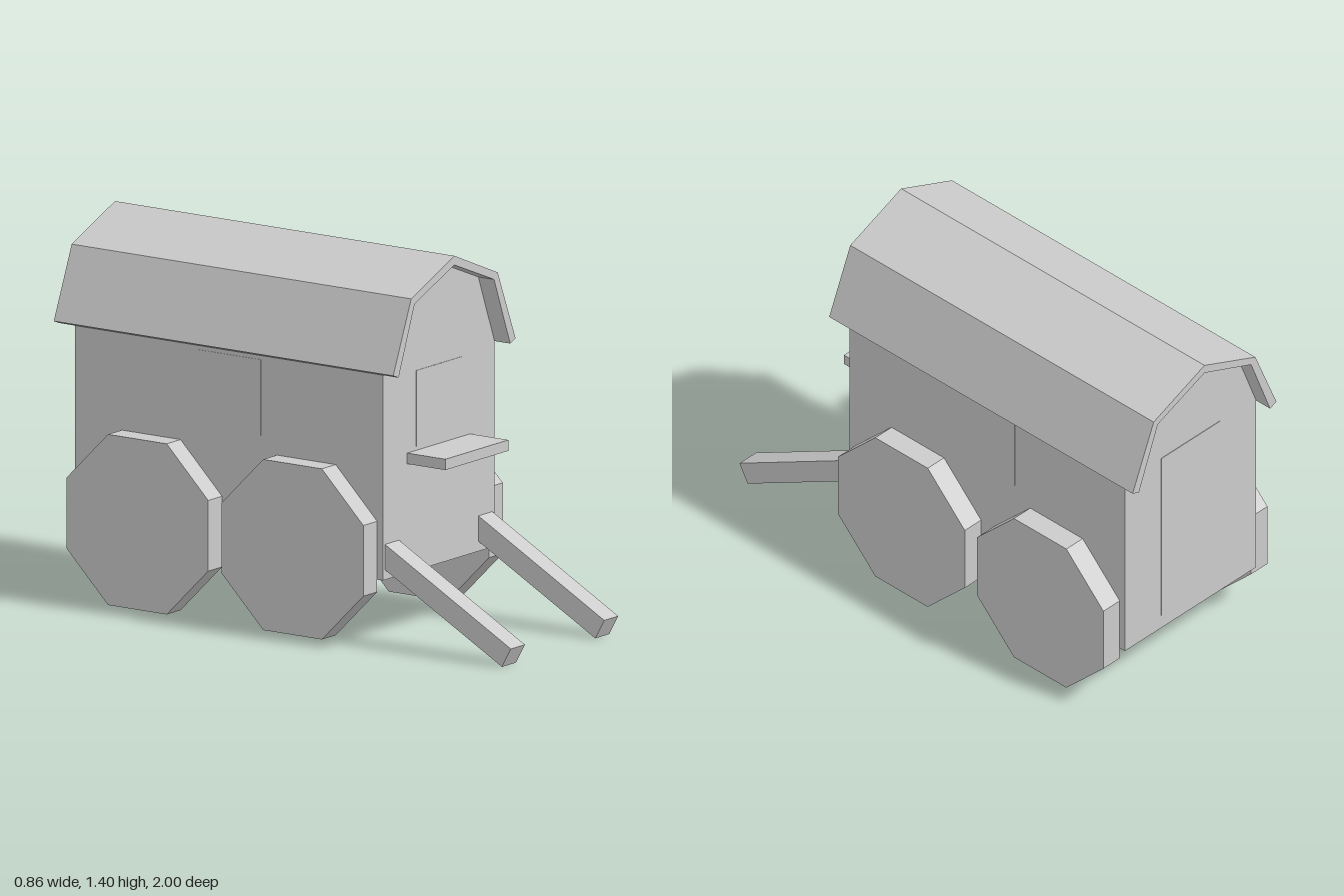
import * as THREE from 'three';

export function createModel() {
  const group = new THREE.Group();
  const material = new THREE.MeshStandardMaterial({ color: 0xcccccc, flatShading: true });

  const add = (name, geometry, x = 0, y = 0, z = 0) => {
    const mesh = new THREE.Mesh(geometry, material);
    mesh.name = name;
    mesh.position.set(x, y, z);
    group.add(mesh);
    return mesh;
  };
  const box = (name, w, h, d, x, y, z) => add(name, new THREE.BoxGeometry(w, h, d), x, y, z);

  // Extrude an outline in the xy plane from zBack to zFront
  const extrude = (name, points, zBack, zFront) => {
    const shape = new THREE.Shape(points.map(([x, y]) => new THREE.Vector2(x, y)));
    const geometry = new THREE.ExtrudeGeometry(shape, { depth: zFront - zBack, bevelEnabled: false });
    return add(name, geometry, 0, 0, zBack);
  };

  // Wagon body with its gambrel gables
  extrude('body', [
    [-0.342, 0.257], [0.342, 0.257], [0.342, 1.015], [0.243, 1.27],
    [0, 1.368], [-0.243, 1.27], [-0.342, 1.015],
  ], -0.93, 0.44);

  // Overhanging roof shell
  extrude('roof', [
    [0.375, 1.028], [0.265, 1.292], [0, 1.402], [-0.265, 1.292], [-0.375, 1.028],
    [-0.342, 1.015], [-0.243, 1.27], [0, 1.368], [0.243, 1.27], [0.342, 1.015],
  ], -1, 0.51);

  // Window and door panels, almost flush with the walls
  box('frontWindow', 0.28, 0.28, 0.004, 0, 0.855, 0.44);
  box('backDoor', 0.305, 0.715, 0.004, 0, 0.67, -0.93);

  // Driver's ledge
  box('frontLedge', 0.386, 0.04, 0.17, 0, 0.68, 0.525);

  for (const [side, s] of [['left', 1], ['right', -1]]) {
    box(side + 'Window', 0.004, 0.28, 0.28, s * 0.342, 0.86, -0.243);

    // Eight-sided wheels resting on flat sides
    for (const [end, z] of [['Front', 0.1], ['Back', -0.59]]) {
      const wheel = new THREE.CylinderGeometry(0.341, 0.341, 0.085, 8);
      wheel.rotateY(Math.PI / 8).rotateZ(Math.PI / 2);
      add(side + end + 'Wheel', wheel, s * 0.385, 0.342, z);
    }

    // Sloping pull shaft, entering the front wall
    const length = 0.66, angle = 0.507;
    const shaft = new THREE.BoxGeometry(0.086, 0.082, length);
    shaft.translate(0, 0, -length / 2).rotateX(angle);
    add(side + 'Shaft', shaft, s * 0.286, 0.041, 0.98);
  }
  return group;
}
